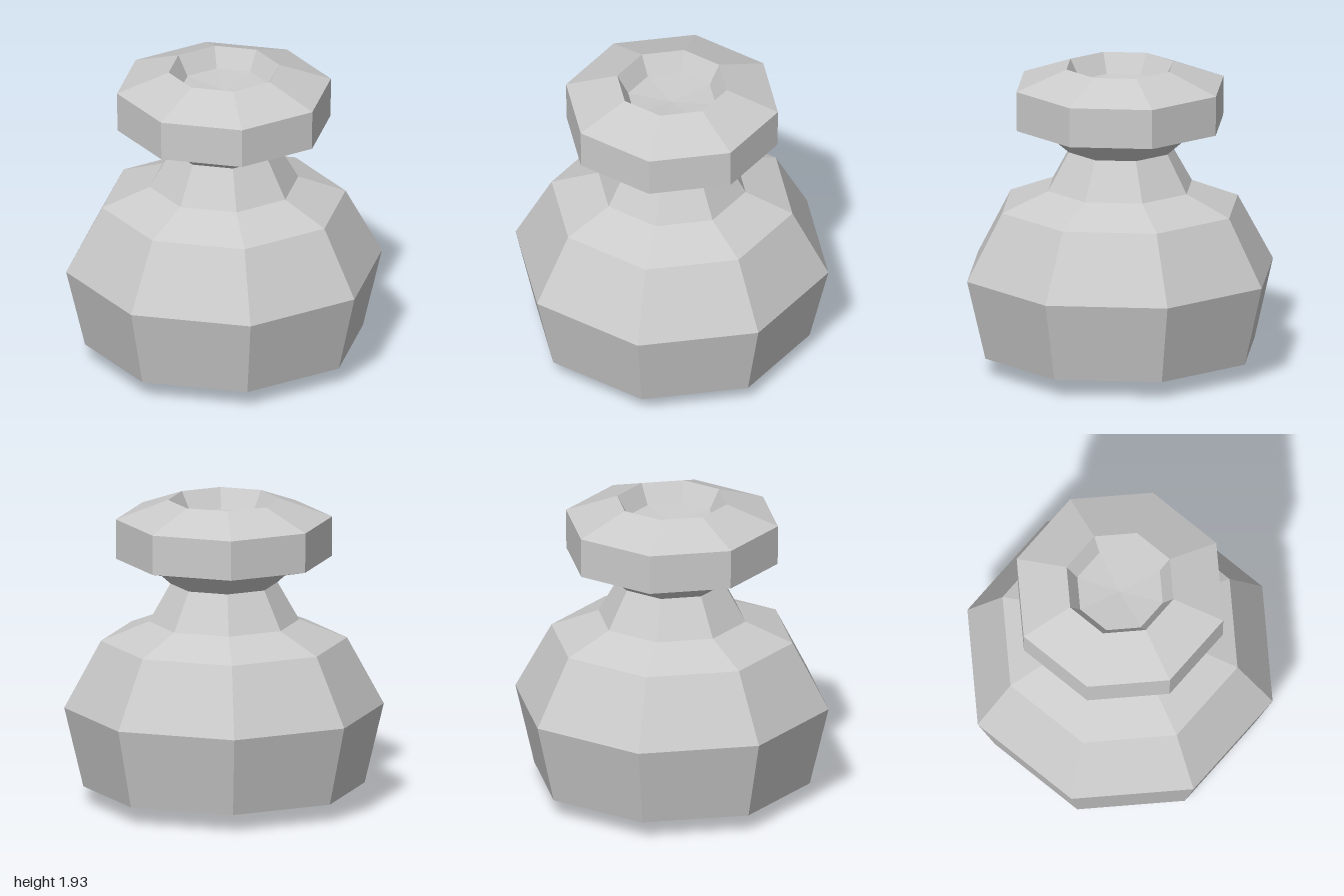
import * as THREE from 'three';

const SIDES = 8;

// Faceted octagonal turning from a [radius, height] profile, listed bottom to top
function turned(name, profile, material) {
  const points = profile.map(([r, y]) => new THREE.Vector2(r, y));
  const mesh = new THREE.Mesh(new THREE.LatheGeometry(points, SIDES), material);
  mesh.name = name;
  return mesh;
}

export function createModel() {
  const group = new THREE.Group();
  group.name = 'stopperedPot';
  const material = new THREE.MeshStandardMaterial({ color: 0xcccccc, flatShading: true });

  // Wide belly with a shallow pointed underside
  group.add(turned('body', [[0, 0], [0.88, 0.11], [1, 0.615], [0.77, 1.04], [0.47, 1.16]], material));

  // Tapering neck
  group.add(turned('neck', [[0.47, 1.16], [0.335, 1.4]], material));

  // Flared head with a dished recess in the top
  group.add(turned('head', [
    [0.335, 1.4], [0.46, 1.51], [0.675, 1.563], [0.677, 1.815],
    [0.35, 1.935], [0.28, 1.81], [0, 1.785],
  ], material));

  return group;
}
